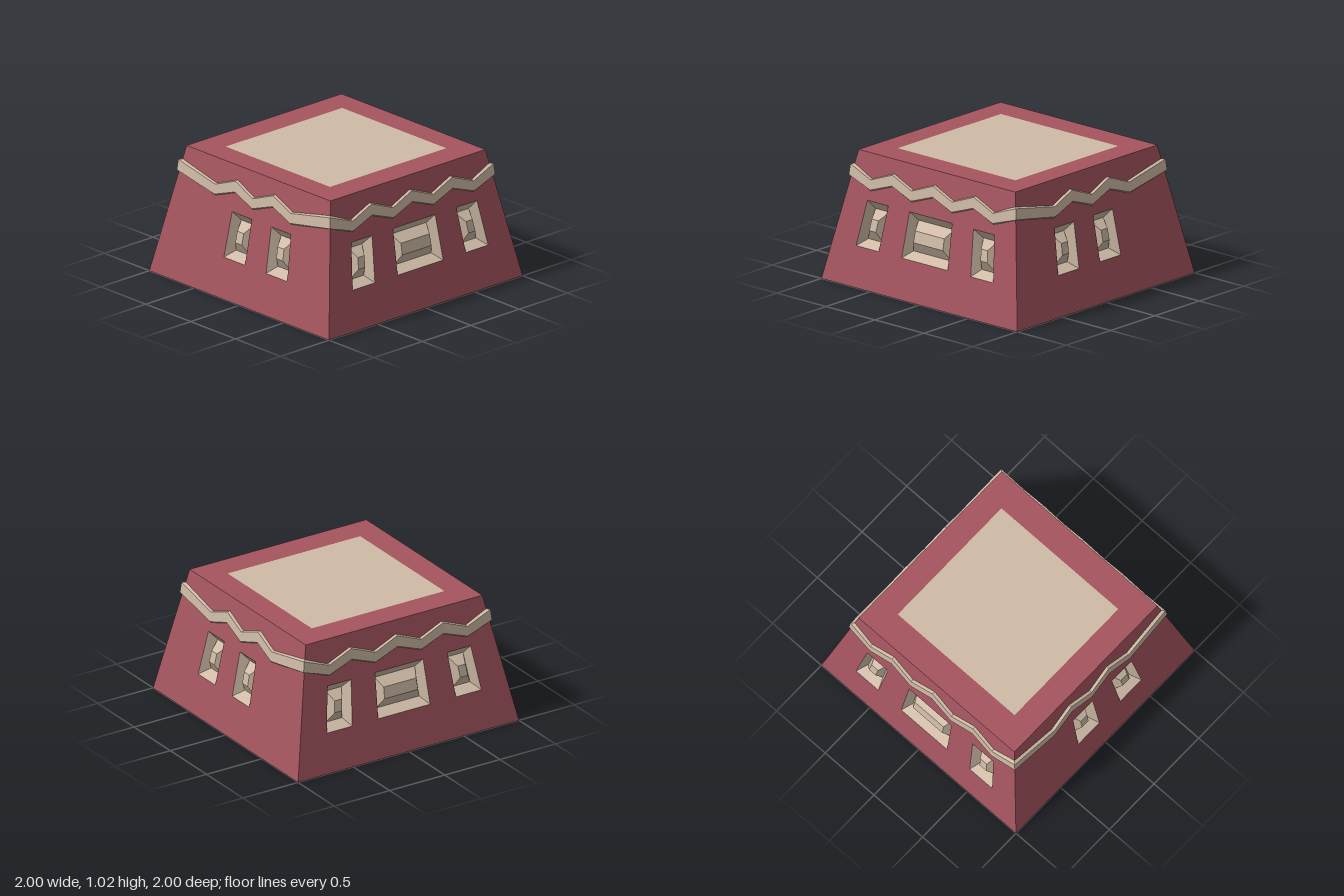
import * as THREE from 'three';

const HEIGHT = 1.02;
const half = (y) => 1 - (0.2 * y) / HEIGHT; // half width of the tapered block at height y

const red = new THREE.MeshStandardMaterial({ color: 0xa5555f });
const tan = new THREE.MeshStandardMaterial({ color: 0xcfbba6 });

function addMesh(parent, name, geometry, material) {
  const mesh = new THREE.Mesh(geometry, material);
  mesh.name = name;
  parent.add(mesh);
  return mesh;
}

// Flat-shaded skin between successive rows of points
function loft(strips) {
  const pos = [];
  for (const { rows, closed } of strips) {
    for (let r = 0; r + 1 < rows.length; r++) {
      const a = rows[r], b = rows[r + 1], n = a.length;
      for (let k = 0; k < (closed ? n : n - 1); k++) {
        const j = (k + 1) % n;
        for (const p of [a[k], a[j], b[j], a[k], b[j], b[k]]) pos.push(...p);
      }
    }
  }
  const g = new THREE.BufferGeometry();
  g.setAttribute('position', new THREE.Float32BufferAttribute(pos, 3));
  g.computeVertexNormals();
  return g;
}

// Four corners on the sloping wall, sunk by depth d
const windowRing = (u0, u1, y0, y1, d) =>
  [[u0, y0], [u1, y0], [u1, y1], [u0, y1]].map(([u, y]) => [u * half(y), y, half(y) - d]);

const opening = ([u0, u1]) => windowRing(u0, u1, 0.31, 0.665, 0);

// Splayed recess with a raised, bevelled panel inside
function windowGeometry([u0, u1]) {
  const back = windowRing(u0 + 0.042, u1 - 0.042, 0.355, 0.59, 0.08);
  const cap = windowRing(u0 + 0.085, u1 - 0.085, 0.44, 0.53, 0.014);
  return loft([
    { rows: [opening([u0, u1]), back, cap], closed: true },
    { rows: [[cap[0], cap[1]], [cap[3], cap[2]]] },
  ]);
}

// Sloping wall with holes for the windows
function wallGeometry(windows) {
  const top = half(HEIGHT);
  const outline = [[-1, 0], [1, 0], [top, HEIGHT], [-top, HEIGHT]];
  const shape = new THREE.Shape(outline.map(([x, y]) => new THREE.Vector2(x, y)));
  for (const w of windows) {
    shape.holes.push(new THREE.Path(opening(w).map(([x, y]) => new THREE.Vector2(x, y))));
  }
  const g = new THREE.ShapeGeometry(shape);
  const p = g.attributes.position;
  for (let i = 0; i < p.count; i++) p.setZ(i, half(p.getY(i)));
  g.computeVertexNormals();
  return g;
}

// Zigzag band: high at the corners, alternating low and high at the given x
function bandGeometry(inner) {
  const xs = [-1, ...inner, 1];
  const row = (low, high, d) => xs.map((x, i) => {
    const y = i % 2 ? low : high;
    const z = half(y) + d;
    return [Math.abs(x) === 1 ? x * z : x, y, z];
  });
  return loft([{
    rows: [
      row(0.735, 0.81, -0.005),
      row(0.75, 0.822, 0.014),
      row(0.828, 0.907, 0.022),
      row(0.833, 0.913, -0.005),
    ],
  }]);
}

export function createModel() {
  const model = new THREE.Group();
  model.name = 'taperedBlock';

  const wide = {
    windows: [[-0.745, -0.5], [-0.25, 0.25], [0.5, 0.745]],
    band: [-0.625, -0.415, -0.207, 0, 0.207, 0.415, 0.625],
  };
  const band = [-0.42, -0.21, 0, 0.21, 0.42];
  const sides = [
    { name: 'front', turn: 0, ...wide },
    { name: 'back', turn: Math.PI, ...wide },
    { name: 'left', turn: Math.PI / 2, windows: [[-0.5, -0.25], [0, 0.25]], band },
    { name: 'right', turn: -Math.PI / 2, windows: [[0.25, 0.5], [-0.25, 0]], band },
  ];
  for (const s of sides) {
    const side = new THREE.Group();
    side.name = s.name + 'Side';
    side.rotation.y = s.turn;
    addMesh(side, s.name + 'Wall', wallGeometry(s.windows), red);
    s.windows.forEach((w, i) => addMesh(side, `${s.name}Window${i + 1}`, windowGeometry(w), tan));
    addMesh(side, s.name + 'ZigzagBand', bandGeometry(s.band), tan);
    model.add(side);
  }

  // Roof border around an inlaid panel
  const top = half(HEIGHT);
  const rect = (a, b) => [[-a, -b], [a, -b], [a, b], [-a, b]].map(([x, y]) => new THREE.Vector2(x, y));
  const border = new THREE.Shape(rect(top, top));
  border.holes.push(new THREE.Path(rect(0.6, 0.58)));
  const roof = addMesh(model, 'roofBorder', new THREE.ShapeGeometry(border), red);
  const panel = addMesh(model, 'roofPanel', new THREE.PlaneGeometry(1.2, 1.16), tan);
  for (const m of [roof, panel]) {
    m.rotation.x = -Math.PI / 2;
    m.position.y = HEIGHT;
  }

  // Underside
  addMesh(model, 'base', new THREE.PlaneGeometry(2, 2), tan).rotation.x = Math.PI / 2;

  return model;
}
